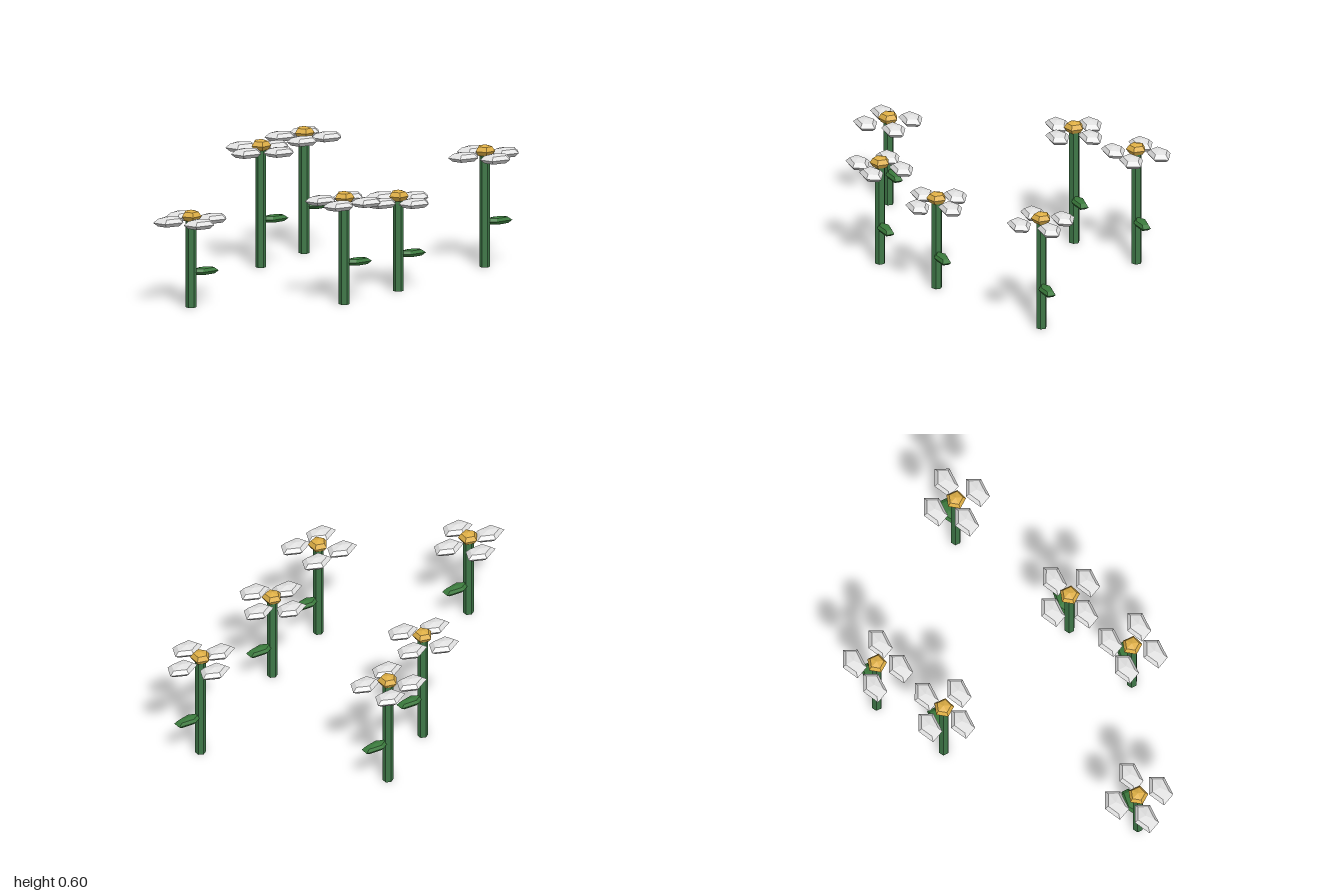
import * as THREE from 'three';

const mat = (name, color) => {
  const m = new THREE.MeshStandardMaterial({ color, flatShading: true });
  m.name = name;
  return m;
};

// Five-sided low-poly ellipsoid
const blob = (rx, ry, rz) => new THREE.SphereGeometry(1, 5, 4).scale(rx, ry, rz);

// x, z, height of the bloom, turn of the petal ring
const FLOWERS = [
  [0.81, 0.14, 0.523, 0],
  [-0.815, 0.275, 0.407, 0.12],
  [-0.17, 0.56, 0.48, 0.72],
  [0.195, 0.42, 0.424, -0.28],
  [-0.087, -0.36, 0.55, -0.44],
  [0.244, -0.54, 0.545, 0.57],
];

export function createModel() {
  const root = new THREE.Group();
  root.name = 'flowerPatch';

  const stemMat = mat('stem green', 0x3f7848);
  const leafMat = mat('leaf green', 0x3a7a3c);
  const petalMat = mat('petal white', 0xe4e4e4);
  const centreMat = mat('centre yellow', 0xe0b046);

  const stemGeo = new THREE.CylinderGeometry(0.025, 0.025, 1, 6).translate(0, 0.5, 0);
  const leafGeo = blob(0.08, 0.02, 0.033);
  const petalGeo = blob(0.055, 0.025, 0.081).rotateY(-Math.PI / 2);
  const centreGeo = blob(0.048, 0.029, 0.048);

  const add = (parent, name, geo, material, x, y, z) => {
    const mesh = new THREE.Mesh(geo, material);
    mesh.name = name;
    mesh.position.set(x, y, z);
    parent.add(mesh);
    return mesh;
  };

  for (const [x, z, h, turn] of FLOWERS) {
    const flower = new THREE.Group();
    flower.name = 'flower';
    flower.position.set(x, 0, z);

    add(flower, 'stem', stemGeo, stemMat, 0, 0, 0).scale.y = h;
    add(flower, 'leaf', leafGeo, leafMat, 0.07, h * 0.4, 0);
    add(flower, 'flowerCentre', centreGeo, centreMat, 0, h + 0.02, 0);

    // Four petals share one orientation around the centre
    for (let i = 0; i < 4; i++) {
      const a = turn + (i * Math.PI) / 2;
      add(flower, 'petal', petalGeo, petalMat, Math.cos(a) * 0.107, h, Math.sin(a) * 0.107);
    }
    root.add(flower);
  }
  return root;
}
